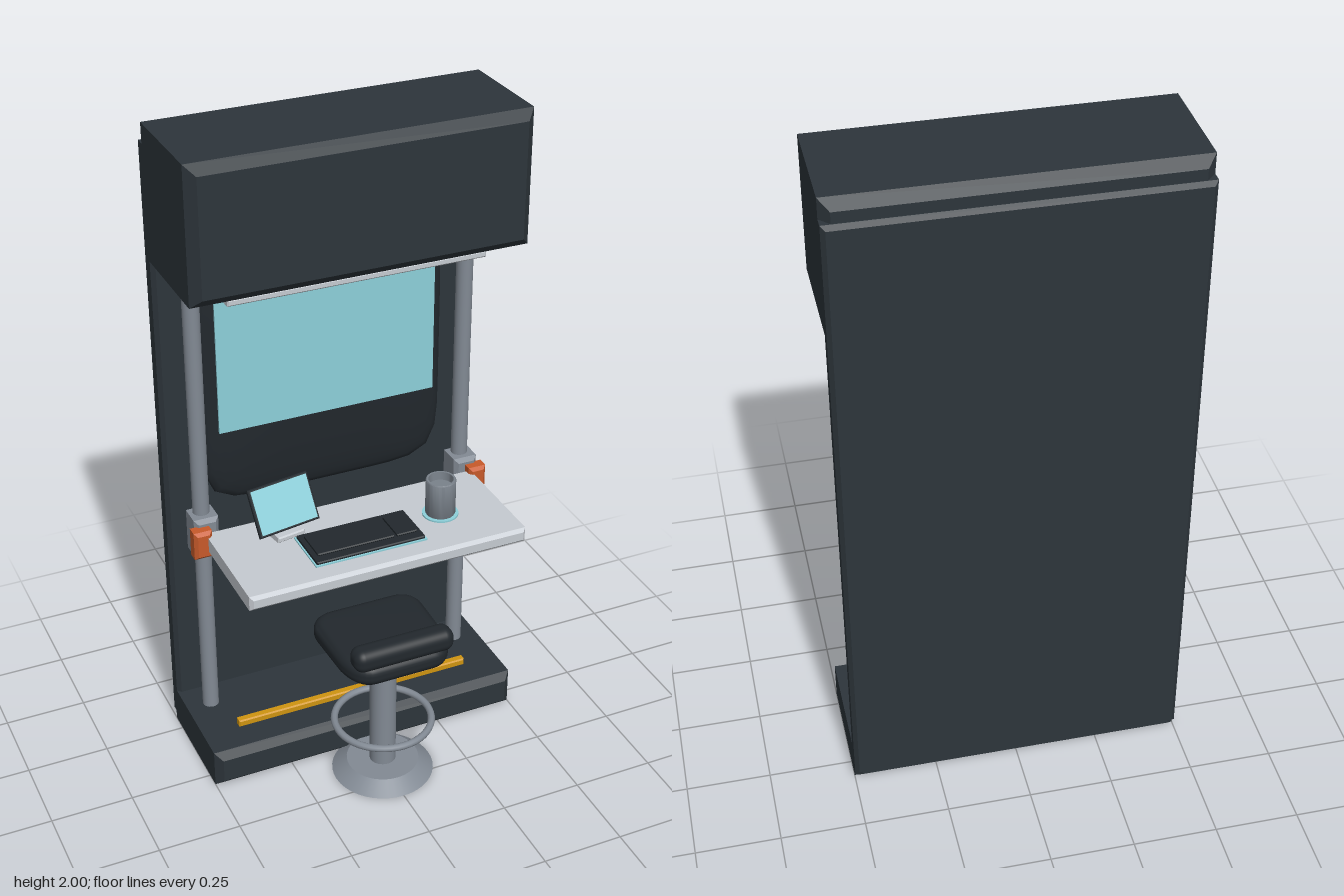
import * as THREE from 'three';
import { toCreasedNormals } from 'three/addons/utils/BufferGeometryUtils.js';
import { RoundedBoxGeometry } from 'three/addons/geometries/RoundedBoxGeometry.js';

const mat = (name, color, side = THREE.FrontSide) => {
  const m = new THREE.MeshStandardMaterial({ color, side });
  m.name = name;
  return m;
};

// Box with chamfered edges, given by its outer size
function chamferBox(w, h, d, c) {
  const x = w / 2 - c, y = h / 2 - c;
  const s = new THREE.Shape([[-x, -y], [x, -y], [x, y], [-x, y]].map(p => new THREE.Vector2(...p)));
  const g = new THREE.ExtrudeGeometry(s, { depth: d - 2 * c, bevelEnabled: true, bevelThickness: c, bevelSize: c, bevelSegments: 1 });
  return g.translate(0, 0, -d / 2 + c);
}

// Lens-like cushion with a rounded rectangular outline
function pillow(w, h, d) {
  const g = new THREE.SphereGeometry(1, 48, 20).rotateX(Math.PI / 2);
  const p = g.attributes.position;
  for (let i = 0; i < p.count; i++) {
    const x = p.getX(i), y = p.getY(i), z = p.getZ(i);
    const norm = Math.pow(Math.abs(x) ** 7 + Math.abs(y) ** 7, 1 / 7) || 1;
    const k = Math.hypot(x, y) / norm;
    p.setXYZ(i, x * k * w / 2, y * k * h / 2, Math.sign(z) * Math.pow(Math.abs(z), 0.8) * d / 2);
  }
  g.computeVertexNormals();
  return g;
}

// Seat cushion: a rounded outline narrowing to the rear, with soft edges
function seatGeometry() {
  const s = new THREE.Shape();
  s.moveTo(-0.10, -0.135);
  s.lineTo(0.10, -0.135);
  s.quadraticCurveTo(0.145, -0.135, 0.145, -0.09);
  s.lineTo(0.14, 0.06);
  s.quadraticCurveTo(0.13, 0.135, 0.09, 0.135);
  s.lineTo(-0.09, 0.135);
  s.quadraticCurveTo(-0.13, 0.135, -0.14, 0.06);
  s.lineTo(-0.145, -0.09);
  s.quadraticCurveTo(-0.145, -0.135, -0.10, -0.135);
  const g = new THREE.ExtrudeGeometry(s, { depth: 0.01, bevelThickness: 0.03, bevelSize: 0.03, bevelSegments: 5, curveSegments: 8 });
  return toCreasedNormals(g.translate(0, 0, -0.005).rotateX(Math.PI / 2), 0.7);
}

export function createModel() {
  const model = new THREE.Group();
  model.name = 'workstation';
  const dark = mat('dark casing', 0x2d353b);
  const black = mat('black padding', 0x22282d);
  const metal = mat('grey metal', 0x828a94);
  const metalOpen = mat('grey metal shell', 0x7a828b, THREE.DoubleSide);
  const pale = mat('pale grey', 0xc6cbd1);
  const cyan = mat('cyan screen', 0x8dd0da);
  const orange = mat('orange', 0xc85a2a);
  const yellow = mat('yellow', 0xcf9410);

  const add = (name, geo, material, x = 0, y = 0, z = 0, parent = model) => {
    const m = new THREE.Mesh(geo, material);
    m.name = name;
    m.position.set(x, y, z);
    parent.add(m);
    return m;
  };
  const cyl = (r1, r2, h, n = 32) => new THREE.CylinderGeometry(r1, r2, h, n);

  // Casing
  add('backPanel', chamferBox(1, 1.91, 0.06, 0.012), dark, 0, 0.985, -0.306);
  add('canopy', chamferBox(1, 0.4, 0.38, 0.028), dark, 0, 1.8, -0.132);
  add('base', chamferBox(1, 0.12, 0.395, 0.022), dark, 0, 0.06, -0.13);

  // Wall display
  add('displayCushion', pillow(0.77, 0.81, 0.09), black, 0, 1.195, -0.275);
  add('wallScreen', new THREE.BoxGeometry(0.685, 0.43, 0.006), cyan, 0, 1.265, -0.228);

  // Light bar and floor strip
  add('lightBar', chamferBox(0.77, 0.02, 0.034, 0.004), pale, 0, 1.58, -0.01);
  add('floorStrip', chamferBox(0.77, 0.024, 0.026, 0.004), yellow, 0, 0.13, -0.052);

  // Posts, clamps and knobs
  for (const side of [-1, 1]) {
    add('post', cyl(0.025, 0.025, 1.5, 24), metal, side * 0.422, 0.86, -0.192);
    add('clamp', chamferBox(0.076, 0.13, 0.09, 0.012), metal, side * 0.422, 0.76, -0.184);
    add('clampKnob', chamferBox(0.056, 0.09, 0.052, 0.01), orange, side * 0.446, 0.76, -0.131);
  }

  // Desk
  add('deskTop', chamferBox(0.866, 0.046, 0.37, 0.01), pale, 0, 0.762, 0.043);

  // Keyboard on its mat
  add('keyboardMat', new THREE.BoxGeometry(0.35, 0.005, 0.164), cyan, -0.032, 0.787, 0.08);
  add('keyboard', chamferBox(0.34, 0.01, 0.156, 0.003), black, -0.032, 0.793, 0.08);
  add('mainKeys', chamferBox(0.24, 0.008, 0.106, 0.003), black, -0.067, 0.801, 0.076);
  add('sideKeys', chamferBox(0.064, 0.008, 0.106, 0.003), black, 0.094, 0.801, 0.076);

  // Tablet on a stand
  const tablet = new THREE.Group();
  tablet.name = 'tablet';
  tablet.position.set(-0.213, 0.866, -0.067);
  tablet.rotation.set(-0.5, 0.17, 0, 'YXZ');
  model.add(tablet);
  add('tabletBody', chamferBox(0.202, 0.146, 0.014, 0.003), black, 0, 0, 0, tablet);
  add('tabletScreen', new THREE.BoxGeometry(0.188, 0.132, 0.004), cyan, 0, 0, 0.007, tablet);
  add('tabletStand', chamferBox(0.09, 0.018, 0.085, 0.004), pale, -0.22, 0.794, -0.045).rotation.y = 0.17;

  // Mug on its coaster
  const mug = [[0, 0], [0.043, 0], [0.045, 0.004], [0.045, 0.112], [0.043, 0.115], [0.037, 0.115], [0.035, 0.09], [0, 0.09]];
  const mugGeo = new THREE.LatheGeometry(mug.map(p => new THREE.Vector2(...p)), 32);
  add('coaster', cyl(0.054, 0.054, 0.006), cyan, 0.24, 0.787, 0.048);
  add('mug', toCreasedNormals(mugGeo, 0.6), metalOpen, 0.24, 0.79, 0.048);

  // Stool, facing the desk
  const stool = new THREE.Group();
  stool.name = 'stool';
  stool.position.z = 0.172;
  model.add(stool);
  add('stoolFoot', cyl(0.11, 0.155, 0.036, 40), metal, 0, 0.018, 0, stool);
  add('stoolColumn', cyl(0.04, 0.04, 0.42), metal, 0, 0.24, 0, stool);
  add('footRing', new THREE.TorusGeometry(0.147, 0.011, 10, 48).rotateX(Math.PI / 2), metal, 0, 0.187, 0, stool);
  add('seat', seatGeometry(), black, 0, 0.477, -0.004, stool);
  add('backrest', new RoundedBoxGeometry(0.315, 0.072, 0.075, 5, 0.03), black, 0, 0.535, 0.128, stool);
  add('heightLever', chamferBox(0.09, 0.018, 0.03, 0.004), orange, 0.14, 0.434, 0.038, stool);

  return model;
}
